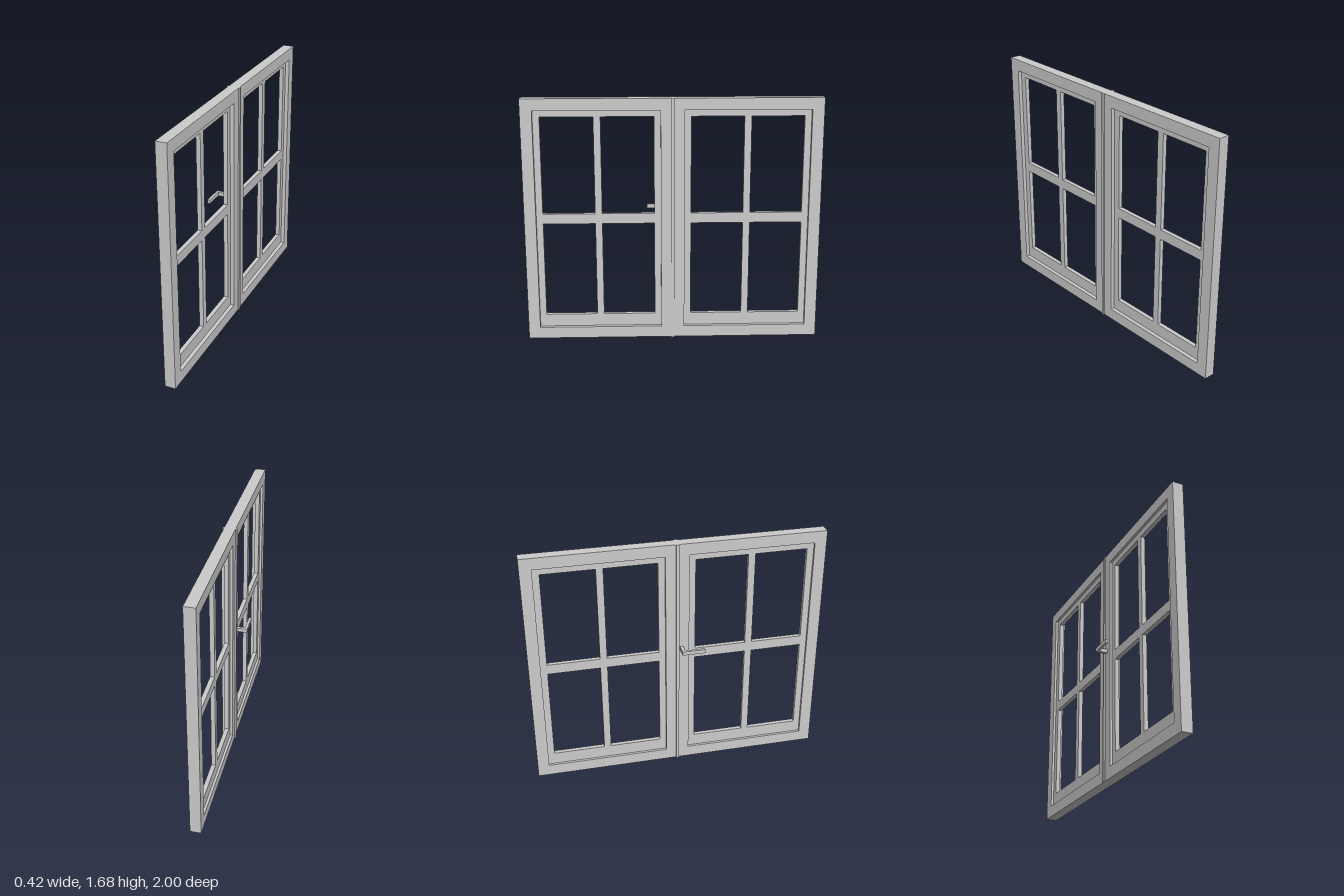
import * as THREE from 'three';

const HEIGHT = 1.685, HALF = 1.0085, DEPTH = 0.075, BORDER = 0.08;
const material = new THREE.MeshStandardMaterial({ color: 0xcccccc, flatShading: true });

function addBox(parent, name, x0, x1, y0, y1, z0, z1) {
  const mesh = new THREE.Mesh(new THREE.BoxGeometry(x1 - x0, y1 - y0, z1 - z0), material);
  mesh.position.set((x0 + x1) / 2, (y0 + y1) / 2, (z0 + z1) / 2);
  mesh.name = name;
  parent.add(mesh);
}

function trace(path, [x0, x1, y0, y1]) {
  path.moveTo(x0, y0);
  path.lineTo(x1, y0);
  path.lineTo(x1, y1);
  path.lineTo(x0, y1);
  path.closePath();
  return path;
}

// Flat panel with rectangular openings, spanning z0 to z1
function addPanel(parent, name, outline, openings, z0, z1) {
  const shape = trace(new THREE.Shape(), outline);
  openings.forEach((o) => shape.holes.push(trace(new THREE.Path(), o)));
  const geometry = new THREE.ExtrudeGeometry(shape, { depth: z1 - z0, bevelEnabled: false });
  geometry.translate(0, 0, z0);
  const mesh = new THREE.Mesh(geometry, material);
  mesh.name = name;
  parent.add(mesh);
}

export function createModel() {
  const model = new THREE.Group();
  model.name = 'doubleWindow';
  const win = new THREE.Group();
  win.name = 'windowAssembly';
  win.rotation.y = THREE.MathUtils.degToRad(80);
  model.add(win);

  // Two casements, each an outer frame holding a recessed four-pane sash
  [[-HALF, 0], [0, HALF]].forEach(([a, b], i) => {
    const casement = new THREE.Group();
    casement.name = i ? 'rearCasement' : 'frontCasement';
    win.add(casement);
    const inner = [a + BORDER, b - BORDER, BORDER, HEIGHT - BORDER];
    addPanel(casement, 'outerFrame', [a, b, 0, HEIGHT], [inner], -DEPTH / 2, DEPTH / 2);

    const mid = (a + b) / 2, stile = 0.045, bar = 0.024;
    const panes = [];
    for (const [x0, x1] of [[inner[0] + stile, mid - bar], [mid + bar, inner[1] - stile]])
      for (const [y0, y1] of [[0.167, 0.825], [0.895, 1.56]]) panes.push([x0, x1, y0, y1]);
    addPanel(casement, 'sash', inner, panes, -0.02, 0.01);
  });

  // Cover strip over the joint, proud on both faces
  addBox(win, 'meetingStrip', -0.01, 0.01, 0, HEIGHT, -0.0475, 0.0475);

  // Lever handle
  const handle = new THREE.Group();
  handle.name = 'handle';
  win.add(handle);
  addBox(handle, 'handleSpindle', -0.04, -0.018, 0.905, 0.932, -0.1, -DEPTH / 2);
  addBox(handle, 'handleLever', -0.176, -0.018, 0.905, 0.932, -0.115, -0.097);

  return model;
}
